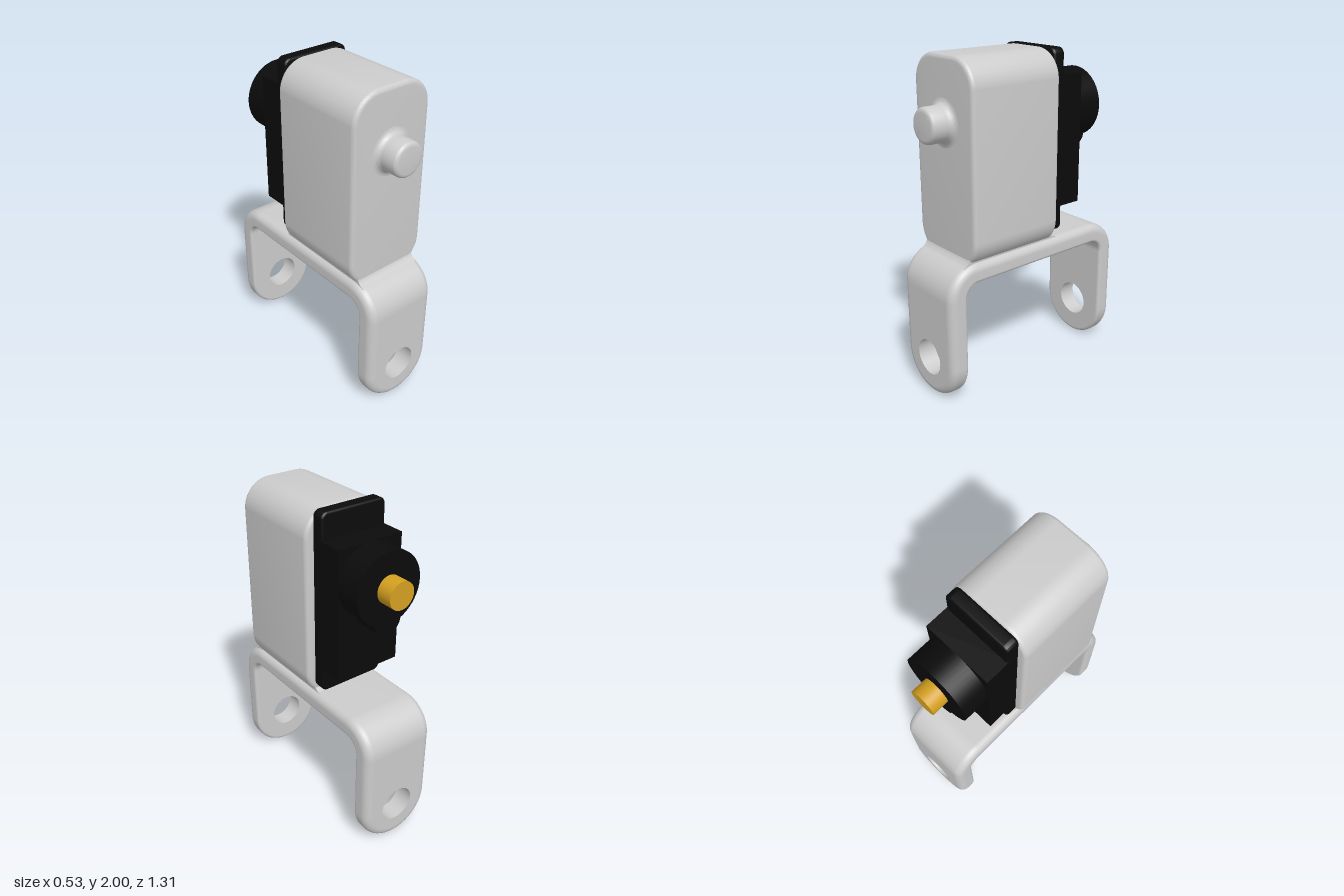
import * as THREE from 'three';
import { toCreasedNormals } from 'three/addons/utils/BufferGeometryUtils.js';

const grey = new THREE.MeshStandardMaterial({ color: 0xcccccc, side: THREE.DoubleSide });
const black = new THREE.MeshStandardMaterial({ color: 0x0b0b0b });
const brass = new THREE.MeshStandardMaterial({ color: 0xd4a020 });

const HALF_W = 0.24, HALF_T = 0.0575; // strap half width and half thickness
const R_OUT = 0.05, R_IN = 0.02;      // rounding of the strap's outer and inner edges
const BEND_Y = 0.665, BEND_Z = 0.455, BEND_R = 0.1425;
const HOLE_R = 0.11, SHAFT_Y = 1.63;

function mesh(name, geometry, material) {
  const m = new THREE.Mesh(geometry, material);
  m.name = name;
  return m;
}

// Skin over a list of rings with equal point counts
function loft(rings, closed) {
  const n = rings[0].length, index = [];
  for (let i = 0; i < rings.length - 1; i++) {
    for (let j = 0; j < (closed ? n : n - 1); j++) {
      const k = (j + 1) % n;
      const a = i * n + j, b = i * n + k, c = (i + 1) * n + k, d = (i + 1) * n + j;
      index.push(a, b, d, b, c, d);
    }
  }
  const g = new THREE.BufferGeometry();
  g.setAttribute('position', new THREE.Float32BufferAttribute(rings.flat(2), 3));
  g.setIndex(index);
  g.computeVertexNormals();
  return g;
}

// Rounded strap edge as [inset, offset] from the outer face to the inner face
function edgeProfile() {
  const pts = [], steps = 6;
  for (let i = 0; i <= steps; i++) {
    const t = (i / steps) * Math.PI / 2;
    pts.push([R_OUT * (1 - Math.sin(t)), HALF_T - R_OUT * (1 - Math.cos(t))]);
  }
  for (let i = 0; i <= steps; i++) {
    const t = (i / steps) * Math.PI / 2;
    pts.push([R_IN * (1 - Math.cos(t)), -HALF_T + R_IN * (1 - Math.sin(t))]);
  }
  return pts;
}

// Top of the bracket with both bends
function bracketTop() {
  const right = edgeProfile().map(([d, n]) => [HALF_W - d, n]);
  const section = [...right, ...right.map(([x, n]) => [-x, n]).reverse()];
  const rings = [], steps = 16;
  for (const side of [0, 1]) {
    for (let i = 0; i <= steps; i++) {
      const a = (side + i / steps) * Math.PI / 2;
      const cz = side ? -BEND_Z : BEND_Z;
      rings.push(section.map(([x, n]) =>
        [x, BEND_Y + Math.sin(a) * (BEND_R + n), cz + Math.cos(a) * (BEND_R + n)]));
    }
  }
  return mesh('bracketTop', loft(rings, true), grey);
}

// Flat face of a leg, with its round hole
function legFace(inset) {
  const r = HALF_W - inset;
  const s = new THREE.Shape();
  s.moveTo(r, BEND_Y);
  s.lineTo(-r, BEND_Y);
  s.lineTo(-r, HALF_W);
  s.absarc(0, HALF_W, r, Math.PI, Math.PI * 2, false);
  s.lineTo(r, BEND_Y);
  s.holes.push(new THREE.Path().absarc(0, HALF_W, HOLE_R, 0, Math.PI * 2, true));
  return new THREE.ShapeGeometry(s, 32);
}

// One leg of the bracket, facing +z
function bracketLeg(name) {
  const leg = new THREE.Group();
  leg.name = name;
  const edge = edgeProfile(), rings = [], steps = 40;
  const addRing = (cy, a) => rings.push(edge.map(([d, n]) =>
    [Math.cos(a) * (HALF_W - d), cy + Math.sin(a) * (HALF_W - d), n]));
  addRing(BEND_Y, -Math.PI);
  for (let i = 0; i <= steps; i++) addRing(HALF_W, -Math.PI * (1 - i / steps));
  addRing(BEND_Y, 0);
  const outer = legFace(R_OUT).translate(0, 0, HALF_T);
  const inner = legFace(R_IN).rotateY(Math.PI).translate(0, 0, -HALF_T);
  const hole = new THREE.CylinderGeometry(HOLE_R, HOLE_R, HALF_T * 2, 48, 1, true)
    .rotateX(Math.PI / 2).translate(0, HALF_W, 0);
  leg.add(mesh('legRim', loft(rings, false), grey), mesh('legOuterFace', outer, grey),
    mesh('legInnerFace', inner, grey), mesh('legHole', hole, grey));
  leg.children.forEach((m) => m.geometry.translate(0, 0, BEND_Z + BEND_R));
  return leg;
}

// Rounded block between two heights and two depths
function roundedBlock(halfW, y0, y1, z0, z1, radius, bevel) {
  const w = halfW - bevel, b = y0 + bevel, t = y1 - bevel, r = radius - bevel;
  const s = new THREE.Shape();
  s.absarc(w - r, t - r, r, 0, Math.PI / 2, false);
  s.absarc(-w + r, t - r, r, Math.PI / 2, Math.PI, false);
  s.absarc(-w + r, b + r, r, Math.PI, Math.PI * 1.5, false);
  s.absarc(w - r, b + r, r, Math.PI * 1.5, Math.PI * 2, false);
  const g = new THREE.ExtrudeGeometry(s, {
    depth: z1 - z0 - 2 * bevel, bevelSize: bevel, bevelThickness: bevel,
    bevelSegments: 5, curveSegments: 14,
  });
  return toCreasedNormals(g.translate(0, 0, z0 + bevel), 0.6);
}

// Cylinder along z between two depths
function rod(r, y, z0, z1) {
  return new THREE.CylinderGeometry(r, r, z1 - z0, 48)
    .rotateX(Math.PI / 2).translate(0, y, (z0 + z1) / 2);
}

// Concave fillets joining the body to the bracket
function bodyFillet() {
  const s = new THREE.Shape();
  s.moveTo(-0.16, 0.8);
  s.lineTo(-0.16, 0.864);
  s.quadraticCurveTo(-0.125, 0.866, -0.115, 0.9);
  s.lineTo(0.495, 0.9);
  s.quadraticCurveTo(0.503, 0.862, 0.54, 0.845);
  s.lineTo(0.54, 0.8);
  const g = new THREE.ExtrudeGeometry(s, { depth: 0.42, bevelEnabled: false, curveSegments: 8 });
  return toCreasedNormals(g.translate(0, 0, -0.21).rotateY(-Math.PI / 2), 0.6);
}

// Front boss with a flared foot and rounded tip
function frontBoss() {
  const pts = [];
  for (let i = 0; i <= 6; i++) {
    const t = (i / 6) * Math.PI / 2;
    pts.push(new THREE.Vector2(0.14 - 0.037 * Math.sin(t), 0.037 * (1 - Math.cos(t))));
  }
  for (let i = 0; i <= 6; i++) {
    const t = (i / 6) * Math.PI / 2;
    pts.push(new THREE.Vector2(0.078 + 0.025 * Math.cos(t), 0.11 + 0.025 * Math.sin(t)));
  }
  pts.push(new THREE.Vector2(0, 0.135));
  const g = new THREE.LatheGeometry(pts, 48).rotateX(Math.PI / 2).translate(0, SHAFT_Y, 0.5);
  return toCreasedNormals(g, 0.6);
}

export function createModel() {
  const model = new THREE.Group();
  model.name = 'servoBracket';

  // U-shaped bracket
  const backLeg = bracketLeg('backLeg');
  backLeg.rotation.y = Math.PI;
  model.add(bracketTop(), bracketLeg('frontLeg'), backLeg);

  // Grey housing
  model.add(
    mesh('body', roundedBlock(0.265, 0.825, 2, -0.122, 0.5, 0.17, 0.025), grey),
    mesh('bodyFillet', bodyFillet(), grey),
    mesh('frontBoss', frontBoss(), grey),
  );

  // Black motor with gear covers and brass shaft
  const motorCase = new THREE.BoxGeometry(0.43, 0.79, 0.16).translate(0, 1.45, -0.26);
  model.add(
    mesh('mountingPlate', roundedBlock(0.215, 0.9, 2, -0.2, -0.118, 0.04, 0.015), black),
    mesh('motorCase', motorCase, black),
    mesh('largeGearCover', rod(0.215, SHAFT_Y, -0.5, -0.3), black),
    mesh('smallGearCover', rod(0.09, 1.44, -0.499, -0.3), black),
    mesh('outputShaft', rod(0.082, SHAFT_Y, -0.6, -0.45), brass),
  );
  return model;
}
